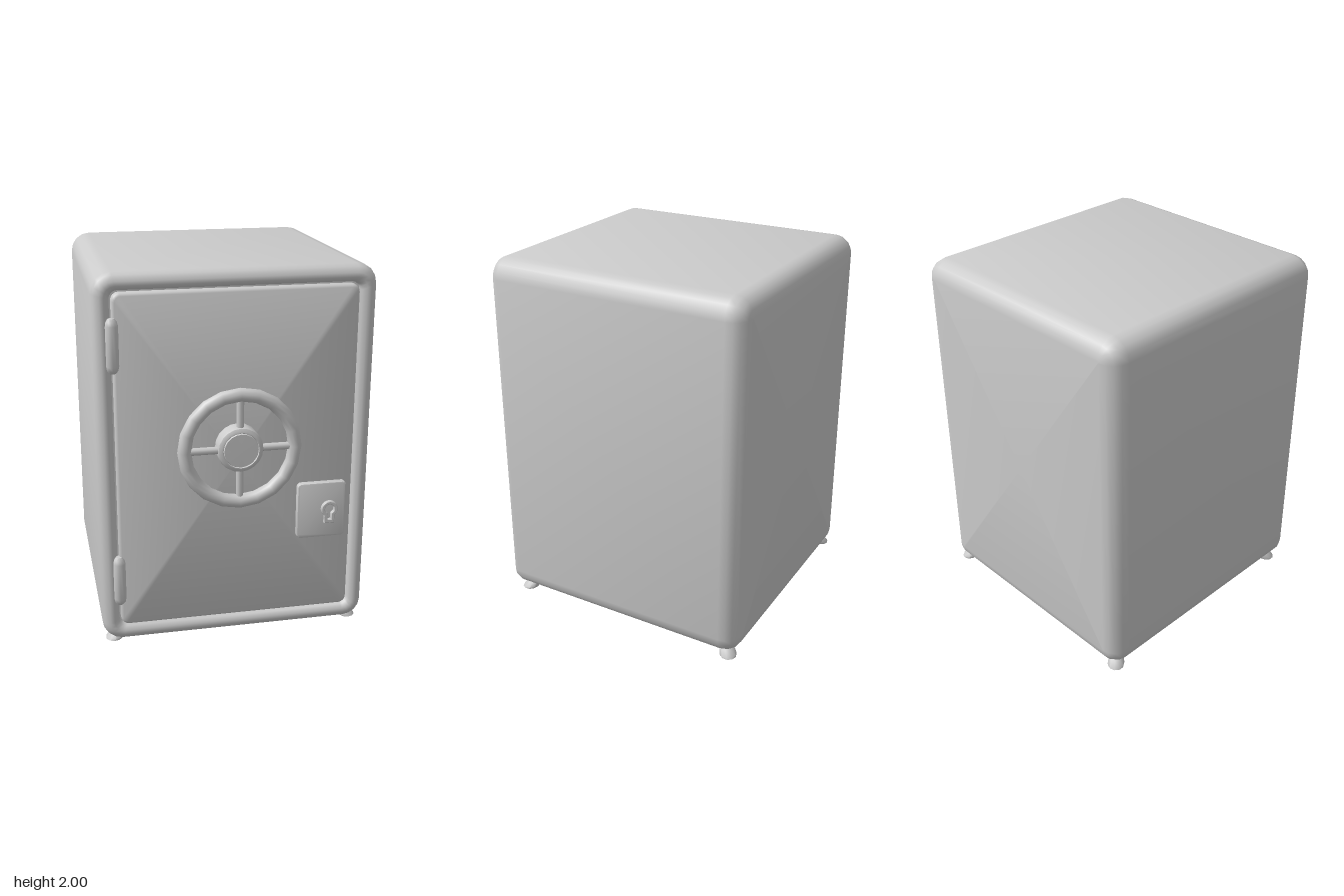
import * as THREE from 'three';
import { toCreasedNormals } from 'three/addons/utils/BufferGeometryUtils.js';

const material = new THREE.MeshStandardMaterial({ color: 0xcccccc });
const CENTRE_Y = 1.01, HALF_W = 0.72, HALF_H = 0.99;

function add(parent, name, geometry, x = 0, y = 0, z = 0) {
  const mesh = new THREE.Mesh(geometry, material);
  mesh.name = name;
  mesh.position.set(x, y, z);
  parent.add(mesh);
  return mesh;
}

// Rounded rectangles stacked along z; each section is [inset, z, corner radius]
function loftRoundedRects(sections) {
  const positions = [], index = [], steps = 4, n = 4 * (steps + 1);
  for (const [inset, z, r] of sections) {
    for (let c = 0; c < 4; c++) {
      const sx = c === 0 || c === 3 ? 1 : -1, sy = c < 2 ? 1 : -1;
      for (let s = 0; s <= steps; s++) {
        const a = (c + s / steps) * Math.PI / 2;
        positions.push(
          sx * (HALF_W - inset - r) + r * Math.cos(a),
          CENTRE_Y + sy * (HALF_H - inset - r) + r * Math.sin(a), z);
      }
    }
  }
  const last = (sections.length - 1) * n, back = sections.length * n;
  positions.push(0, CENTRE_Y, sections[0][1], 0, CENTRE_Y, sections[sections.length - 1][1]);
  for (let j = 0; j < n; j++) {
    const k = (j + 1) % n;
    for (let i = 0; i < last; i += n) {
      index.push(i + j, i + k, i + n + k, i + j, i + n + k, i + n + j);
    }
    index.push(back, k, j, back + 1, last + j, last + k);
  }
  const geometry = new THREE.BufferGeometry();
  geometry.setAttribute('position', new THREE.Float32BufferAttribute(positions, 3));
  geometry.setIndex(index);
  return toCreasedNormals(geometry, 0.9);
}

function lathe(points, segments) {
  const geometry = new THREE.LatheGeometry(points.map(p => new THREE.Vector2(...p)), segments);
  return toCreasedNormals(geometry, 0.7);
}

// Keyhole outline: a round head joined to a straight stem
function keyhole(Type, radius, halfStem, bottom) {
  const path = new Type();
  const a = Math.asin(halfStem / radius);
  path.moveTo(-halfStem, bottom);
  path.lineTo(halfStem, bottom);
  path.absarc(0, 0, radius, -Math.PI / 2 + a, Math.PI * 1.5 - a, false);
  path.closePath();
  return path;
}

function roundedPlate(w, h, r) {
  const x = w / 2, y = h / 2, s = new THREE.Shape();
  s.absarc(x - r, y - r, r, 0, Math.PI / 2);
  s.absarc(-x + r, y - r, r, Math.PI / 2, Math.PI);
  s.absarc(-x + r, -y + r, r, Math.PI, Math.PI * 1.5);
  s.absarc(x - r, -y + r, r, Math.PI * 1.5, Math.PI * 2);
  return s;
}

export function createModel() {
  const safe = new THREE.Group();
  safe.name = 'safe';

  // Cabinet with rounded back edges and a rounded front rim
  const sections = [];
  for (let i = 0; i <= 4; i++) {
    const a = i / 4 * Math.PI / 2;
    const inset = 0.1 * (1 - Math.sin(a));
    sections.push([inset, -0.68 - 0.1 * Math.cos(a), 0.105 - inset]);
  }
  sections.push([0, 0.63, 0.105], [0.012, 0.662, 0.093], [0.04, 0.684, 0.07],
    [0.062, 0.684, 0.055], [0.083, 0.668, 0.045], [0.09, 0.635, 0.04]);
  add(safe, 'cabinet', loftRoundedRects(sections));

  // Door panel with softened edge
  add(safe, 'door', loftRoundedRects([[0.097, 0.6, 0.04], [0.097, 0.662, 0.04],
    [0.101, 0.676, 0.037], [0.112, 0.682, 0.03]]));

  // Hinges
  for (const y of [0.38, 1.645]) {
    add(safe, 'hinge', lathe([[0, -0.137], [0.016, -0.137], [0.029, -0.122], [0.034, -0.1],
      [0.034, 0.1], [0.029, 0.122], [0.016, 0.137], [0, 0.137]], 12), -0.625, y, 0.675);
  }

  // Hand wheel
  const wheel = new THREE.Group();
  wheel.name = 'handWheel';
  wheel.position.set(0, 1.095, 0.738);
  safe.add(wheel);
  add(wheel, 'wheelRim', new THREE.TorusGeometry(0.287, 0.036, 10, 20));
  for (let i = 0; i < 4; i++) {
    const a = i * Math.PI / 2;
    const spoke = add(wheel, 'spoke', new THREE.CylinderGeometry(0.019, 0.019, 0.2, 10),
      0.17 * Math.cos(a), 0.17 * Math.sin(a), 0);
    spoke.rotation.z = a - Math.PI / 2;
  }
  const hub = add(wheel, 'hub', lathe([[0, -0.06], [0.118, -0.06], [0.12, 0.008], [0.116, 0.025],
    [0.1, 0.034], [0.094, 0.034], [0.091, 0.028], [0.088, 0.036], [0, 0.038]], 20));
  hub.rotation.x = Math.PI / 2;

  // Lock plate and keyhole surround
  const plate = new THREE.ExtrudeGeometry(roundedPlate(0.25, 0.295, 0.015),
    { depth: 0.03, bevelSize: 0.008, bevelThickness: 0.008, bevelSegments: 2, curveSegments: 3 });
  add(safe, 'lockPlate', toCreasedNormals(plate, 0.7), 0.453, 0.705, 0.676);
  const outline = keyhole(THREE.Shape, 0.041, 0.024, -0.076);
  outline.holes.push(keyhole(THREE.Path, 0.029, 0.013, -0.062));
  const surround = new THREE.ExtrudeGeometry(outline,
    { depth: 0.022, bevelSize: 0.004, bevelThickness: 0.004, bevelSegments: 1, curveSegments: 8 });
  add(safe, 'keyholeSurround', toCreasedNormals(surround, 0.7), 0.492, 0.715, 0.707);

  // Flared feet leaning outwards towards the corners
  for (const sx of [-1, 1]) {
    for (const sz of [-1, 1]) {
      const foot = new THREE.LatheGeometry([[0, 0], [0.044, 0], [0.047, 0.008], [0.04, 0.035],
        [0.03, 0.06], [0.028, 0.1]].map(p => new THREE.Vector2(...p)), 10);
      const p = foot.attributes.position;
      for (let i = 0; i < p.count; i++) {
        const lean = 0.6 * p.getY(i);
        p.setX(i, p.getX(i) - sx * lean);
        p.setZ(i, p.getZ(i) - sz * lean);
      }
      add(safe, 'foot', toCreasedNormals(foot, 0.8), sx * 0.658, 0, sz > 0 ? 0.598 : -0.718);
    }
  }
  return safe;
}
